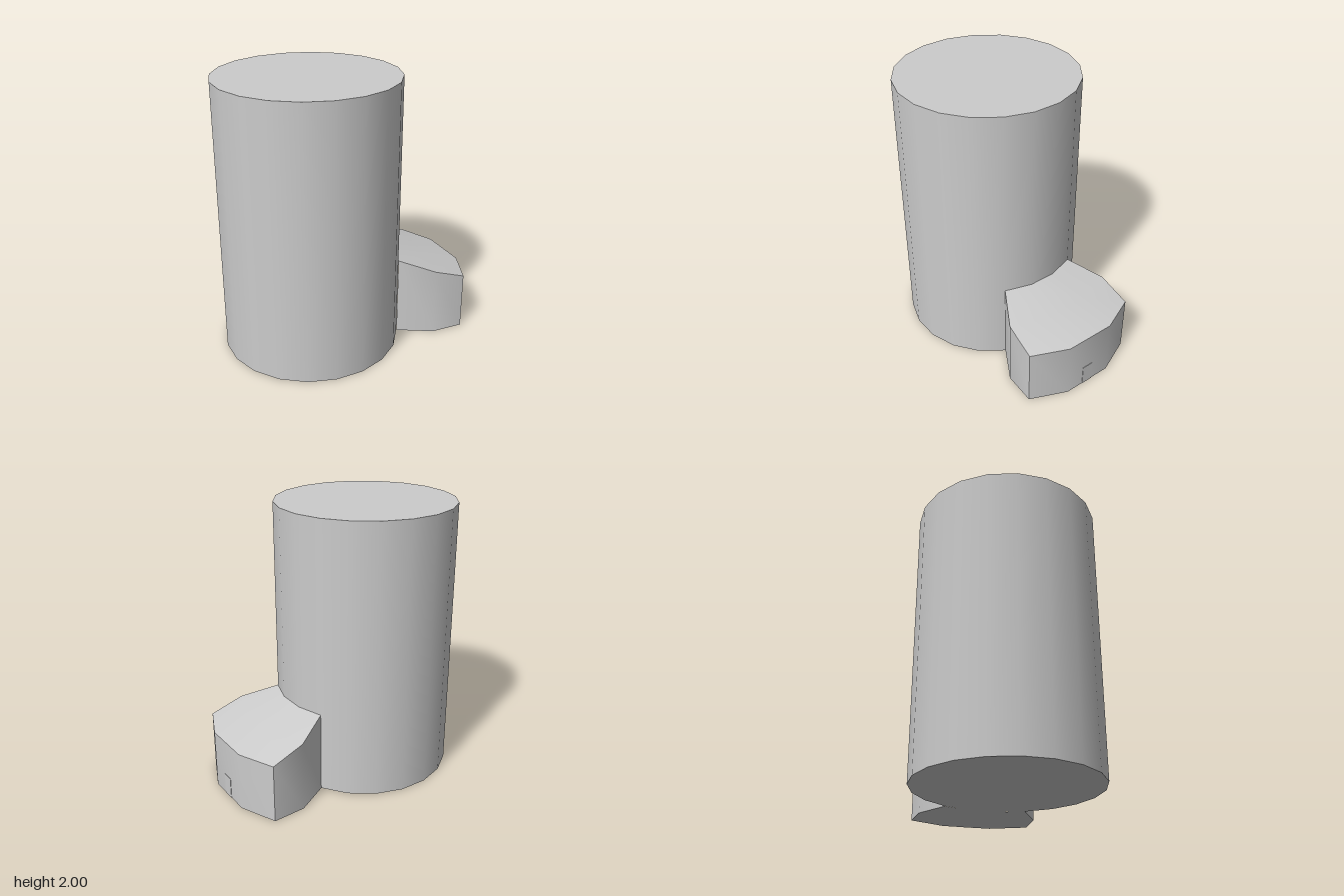
import * as THREE from 'three';

const grey = new THREE.MeshStandardMaterial({ color: 0xcccccc });

// Smooth sheet through rows of [x, y, z] points
function sheet(name, rows) {
  const n = rows[0].length;
  const index = [];
  for (let r = 0; r < rows.length - 1; r++) {
    for (let c = 0; c < n - 1; c++) {
      const a = r * n + c, b = a + n;
      index.push(a, b, b + 1, a, b + 1, a + 1);
    }
  }
  const geo = new THREE.BufferGeometry();
  geo.setAttribute('position', new THREE.Float32BufferAttribute(rows.flat(2), 3));
  geo.setIndex(index);
  geo.computeVertexNormals();
  const mesh = new THREE.Mesh(geo, grey);
  mesh.name = name;
  return mesh;
}

export function createModel() {
  const model = new THREE.Group();

  // Round tower, 20 sides with a flat side facing +x
  const tower = new THREE.Mesh(new THREE.CylinderGeometry(0.648, 0.648, 2, 20), grey);
  tower.name = 'tower';
  tower.rotation.y = Math.PI / 20;
  tower.position.set(-0.27, 1, 0);
  model.add(tower);

  // Annex roof: arcs from the tower wall out to the eave, mirrored in z
  const arc = (y, x1, z1, x2, z2) => [[x1, y, z1], [x2, y, z2], [x2, y, -z2], [x1, y, -z1]];
  const roof = [
    arc(0.6, 0.31, 0.294, 0.37, 0.101),
    arc(0.515, 0.55, 0.435, 0.64, 0.16),
    arc(0.43, 0.79, 0.45, 0.905, 0.185),
  ];
  const ground = (pts) => pts.map(([x, , z]) => [x, 0, z]);
  const wall = (name, top) => sheet(name, [top, ground(top)]);

  const annex = new THREE.Group();
  annex.name = 'annex';
  annex.add(
    sheet('annexRoof', roof),
    sheet('annexFloor', roof.map((row) => ground(row).reverse())),
    wall('annexFrontWall', roof.map((row) => row[0])),
    wall('annexBackWall', roof.map((row) => row[3]).reverse()),
    wall('annexOuterWall', roof[2]),
  );

  // Small door on the outer wall
  const door = new THREE.Mesh(new THREE.BoxGeometry(0.01, 0.157, 0.085), grey);
  door.name = 'door';
  door.position.set(0.903, 0.0785, 0.008);
  annex.add(door);

  model.add(annex);
  return model;
}
